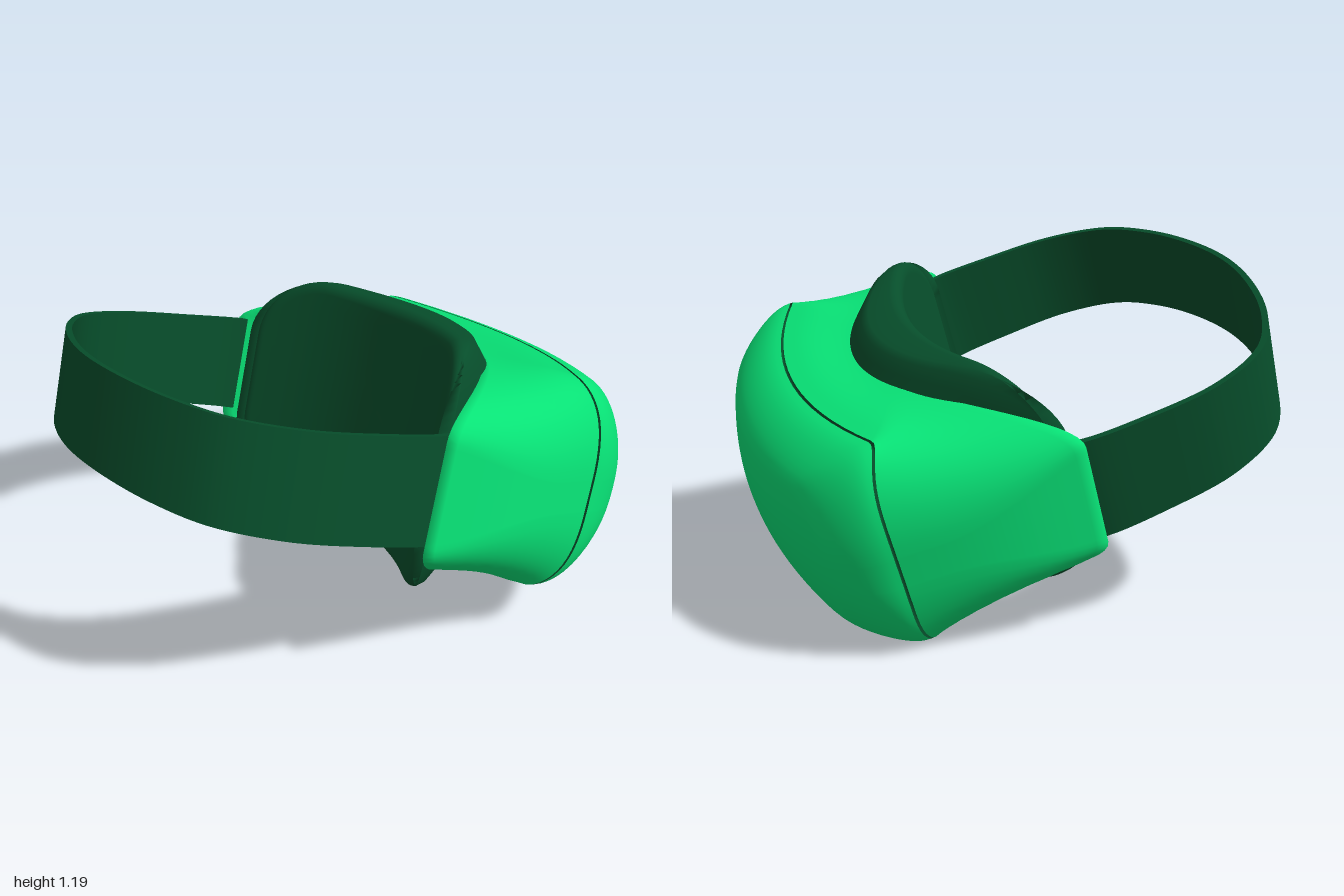
import * as THREE from 'three';

const V = (x, y, z) => new THREE.Vector3(x, y, z);
const { lerp, smoothstep, degToRad } = THREE.MathUtils;
const CORNER = 14, EDGE = 18;

// Skin over closed rings; rings run rear to front, points counter-clockwise seen from the rear
function loft(rings) {
  const n = rings[0].length, pos = [], idx = [];
  rings.forEach(r => r.forEach(p => pos.push(p.x, p.y, p.z)));
  for (let j = 0; j < rings.length - 1; j++) {
    for (let i = 0; i < n; i++) {
      const a = j * n + i, b = j * n + (i + 1) % n;
      idx.push(a, a + n, b, b, a + n, b + n);
    }
  }
  const g = new THREE.BufferGeometry();
  g.setAttribute('position', new THREE.Float32BufferAttribute(pos, 3));
  g.setIndex(idx);
  g.computeVertexNormals();
  return g;
}

// Rounded rectangle with elliptical corners; depth(x, y) gives z
function ring(a, top, bottom, rx, ry, depth) {
  const corners = [[a - rx, top - ry], [rx - a, top - ry], [rx - a, bottom + ry], [a - rx, bottom + ry]];
  const flat = [];
  corners.forEach(([cx, cy], q) => {
    const at = (x, y, t) => [x + rx * Math.cos(t), y + ry * Math.sin(t)];
    for (let i = 0; i <= CORNER; i++) flat.push(at(cx, cy, (q + i / CORNER) * Math.PI / 2));
    const t = (q + 1) * Math.PI / 2, p = at(cx, cy, t), e = at(...corners[(q + 1) % 4], t);
    for (let i = 1; i < EDGE; i++) flat.push([lerp(p[0], e[0], i / EDGE), lerp(p[1], e[1], i / EDGE)]);
  });
  return flat.map(([x, y]) => V(x, y, depth(x, y)));
}

const scaled = (r, s, depth) => r.map(p => {
  const x = p.x * s, y = (p.y + 0.02) * s - 0.02;
  return V(x, y, depth(x, y));
});

// Depth rules of the main curves
const rimZ = x => -0.5 * (1 - (x / 0.775) ** 2);
const faceZ = (x, y) => -1.01 + 0.33 * x * x + 0.7 * (y + 0.02) ** 2;
const padZ = x => -0.28 + 0.25 * (x / 0.69) ** 2;
const seamZ = x => {
  const u = Math.abs(x);
  return u < 0.6 ? -0.61 - 0.135 * (1 - (u / 0.6) ** 2) : -0.61 - 0.06 * smoothstep(u, 0.6, 0.75);
};
const GAP = 0.005;

// Outline of the visor at the seam, shrunk inwards by d
const outline = (d, depth) => ring(0.75 - d, 0.368 - d, -0.415 + d, 0.16 + d * 0.3, 0.33 - d * 0.9, depth);

function housing() {
  const rim = ring(0.775, 0.345, -0.38, 0.5, 0.175, rimZ);
  const seam = outline(0, x => seamZ(x) + GAP);
  const rings = [
    scaled(rim, 0.8, x => rimZ(x) - 0.12),
    scaled(rim, 0.9, x => rimZ(x) - 0.03),
    scaled(rim, 0.97, x => rimZ(x) - 0.004),
  ];
  for (let k = 0; k <= 16; k++) {
    const t = k / 16, rise = smoothstep(t, -0.1, 0.8), bulge = 1 + 0.035 * Math.sin(t * Math.PI);
    const from = smoothstep(0, -0.1, 0.8);
    const e = (rise - from) / (1 - from);
    rings.push(rim.map((p, i) => V(
      lerp(p.x, seam[i].x, t) * bulge, lerp(p.y, seam[i].y, e), lerp(p.z, seam[i].z, t))));
  }
  return loft(rings);
}

function cover() {
  const rings = [], inset = 0.13, steps = 12, base = outline(0, seamZ);
  for (let k = 0; k <= steps; k++) {
    const q = k / steps * Math.PI / 2;
    const r = outline(inset * (1 - Math.cos(q)), faceZ);
    r.forEach((p, i) => { p.z = lerp(base[i].z - GAP, p.z, Math.sin(q)); });
    rings.push(r);
  }
  const edge = rings[steps];
  for (let k = 1; k <= 10; k++) rings.push(scaled(edge, 1 - k / 10, faceZ));
  return loft(rings);
}

// Thin recess between housing and cover
function groove() {
  const sections = [[0, GAP], [0.015, GAP], [0.015, -GAP], [0, -GAP]];
  return loft(sections.map(([d, dz]) => outline(d, x => seamZ(x) + dz)));
}

// Solid face cushion, concave towards the wearer
function cushion() {
  const pad = (d, depth) => ring(0.69 - d, 0.425 - d, -0.46 + d, 0.27 - d * 0.5, 0.27 - d * 0.5, depth);
  const rings = [], round = 0.045;
  const inner = pad(round, padZ);
  for (let k = 0; k < 8; k++) rings.push(scaled(inner, k / 8, padZ));
  for (let k = 0; k <= 6; k++) {
    const q = k / 6 * Math.PI / 2;
    rings.push(pad(round * (1 - Math.sin(q)), x => padZ(x) - round * (1 - Math.cos(q))));
  }
  const front = [[0, 0.08], [0.012, 0.05], [0.05, 0.015], [0.12, -0.05]];
  front.forEach(([d, dz]) => rings.push(pad(d, x => rimZ(x) + dz)));
  return loft(rings);
}

// Head band, tapering and rising slightly towards the back of the head
function strap() {
  const half = [[0.75, -0.03], [0.762, 0.03], [0.765, 0.2], [0.742, 0.48], [0.64, 0.695], [0.465, 0.815], [0.235, 0.892]];
  const pts = [...half, [0, 0.92], ...half.map(([x, z]) => [-x, z]).reverse()];
  const curve = new THREE.CatmullRomCurve3(pts.map(([x, z]) => V(x, 0, z)), false, 'centripetal');
  const rings = [], n = 80, thick = 0.011;
  for (let k = 0; k <= n; k++) {
    const p = curve.getPointAt(k / n), t = curve.getTangentAt(k / n);
    const out = V(t.z, 0, -t.x).multiplyScalar(thick);
    const back = Math.sin(k / n * Math.PI), h = lerp(0.188, 0.165, back), mid = 0.028 * back * back;
    const corner = (s, y) => V(p.x + s * out.x, mid + y, p.z + s * out.z);
    const c = [corner(-1, -h), corner(-1, h), corner(1, h), corner(1, -h)];
    rings.push(c.flatMap(q => [q, q.clone()])); // doubled corners keep the edges sharp
  }
  return loft(rings);
}

export function createModel() {
  const paint = color => new THREE.MeshStandardMaterial({ color, side: THREE.DoubleSide });
  const green = paint(0x08e276), dark = paint(0x074e2b);
  const headset = new THREE.Group();
  headset.name = 'headset';
  const add = (name, geometry, material) => {
    const m = new THREE.Mesh(geometry, material);
    m.name = name;
    headset.add(m);
  };
  add('housing', housing(), green);
  add('frontCover', cover(), green);
  add('seamGroove', groove(), dark);
  add('faceCushion', cushion(), dark);
  add('headStrap', strap(), dark);

  // Tilted resting pose
  headset.rotation.set(degToRad(-20), degToRad(-30), 0);
  headset.position.set(-0.055, 0.69, 0.05);
  const model = new THREE.Group();
  model.name = 'model';
  model.add(headset);
  return model;
}
